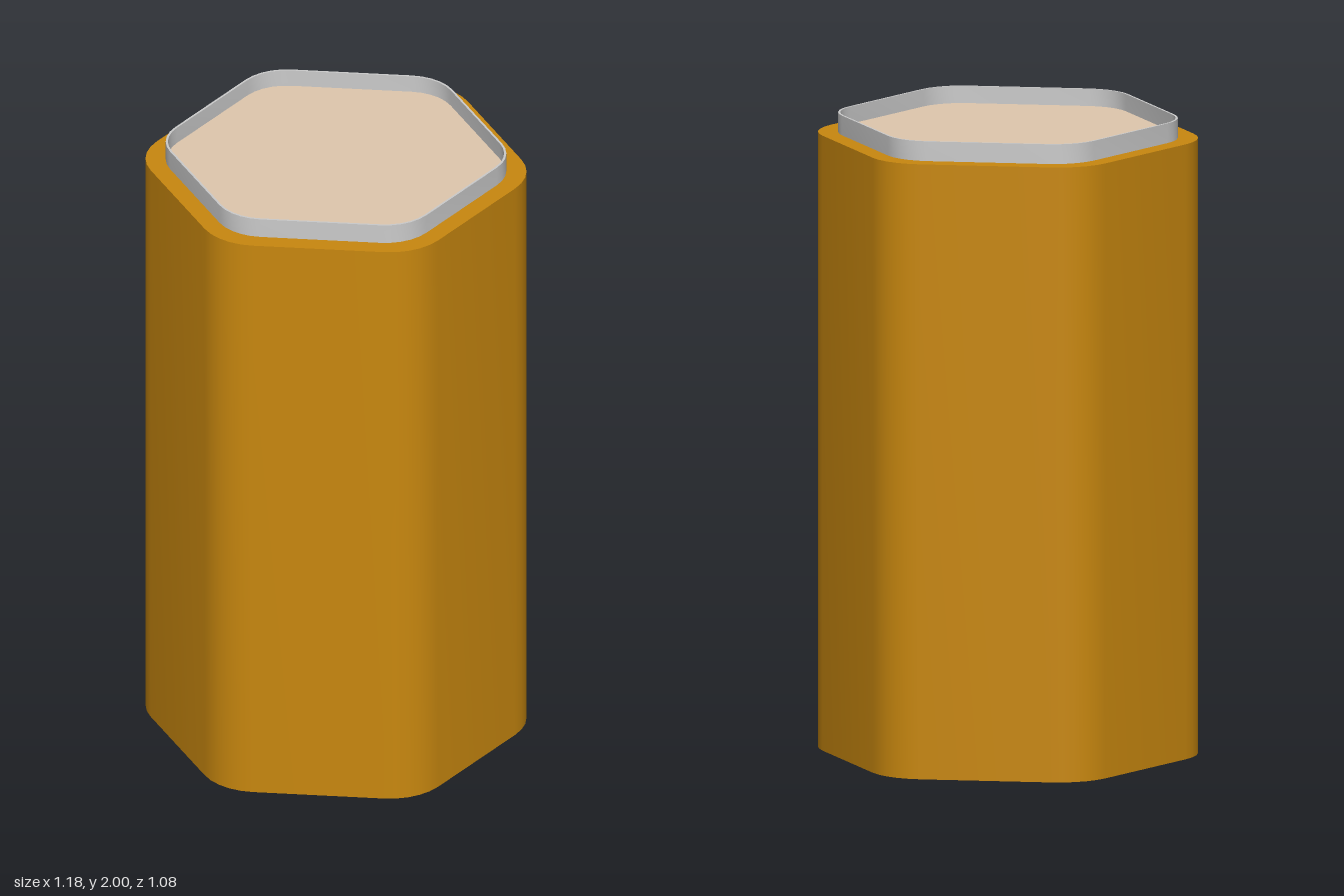
import * as THREE from 'three';
import { toCreasedNormals } from 'three/addons/utils/BufferGeometryUtils.js';

// Points of a rounded hexagon: apothem a, corner radius r, corners on the x axis
function hexPoints(a, r, steps = 5) {
  const pts = [];
  const d = (a - r) / Math.cos(Math.PI / 6);
  for (let k = 0; k < 6; k++) {
    const corner = (k * Math.PI) / 3;
    for (let i = 0; i <= steps; i++) {
      const t = corner + (i / steps - 0.5) * (Math.PI / 3);
      pts.push(new THREE.Vector2(
        d * Math.cos(corner) + r * Math.cos(t),
        d * Math.sin(corner) + r * Math.sin(t)
      ));
    }
  }
  return pts;
}

// Upright prism from y0 to y1, optionally hollow
function hexPrism(name, color, outer, y0, y1, inner) {
  const shape = new THREE.Shape(outer);
  if (inner) shape.holes.push(new THREE.Path(inner));
  const geo = new THREE.ExtrudeGeometry(shape, { depth: y1 - y0, bevelEnabled: false });
  geo.rotateX(-Math.PI / 2).translate(0, y0, 0);
  const mesh = new THREE.Mesh(
    toCreasedNormals(geo, 0.5),
    new THREE.MeshStandardMaterial({ color })
  );
  mesh.name = name;
  return mesh;
}

export function createModel() {
  const group = new THREE.Group();
  group.name = 'hexagonalContainer';

  // Tall solid body
  group.add(hexPrism('body', 0xc9880f, hexPoints(0.538, 0.185), 0, 1.938));

  // Thin raised rim
  const rimInner = hexPoints(0.473, 0.15);
  group.add(hexPrism('rim', 0xcccccc, hexPoints(0.48, 0.157), 1.938, 2, rimInner));

  // Pale panel recessed inside the rim
  group.add(hexPrism('topPanel', 0xe0c8ae, rimInner, 1.938, 1.946));

  return group;
}
